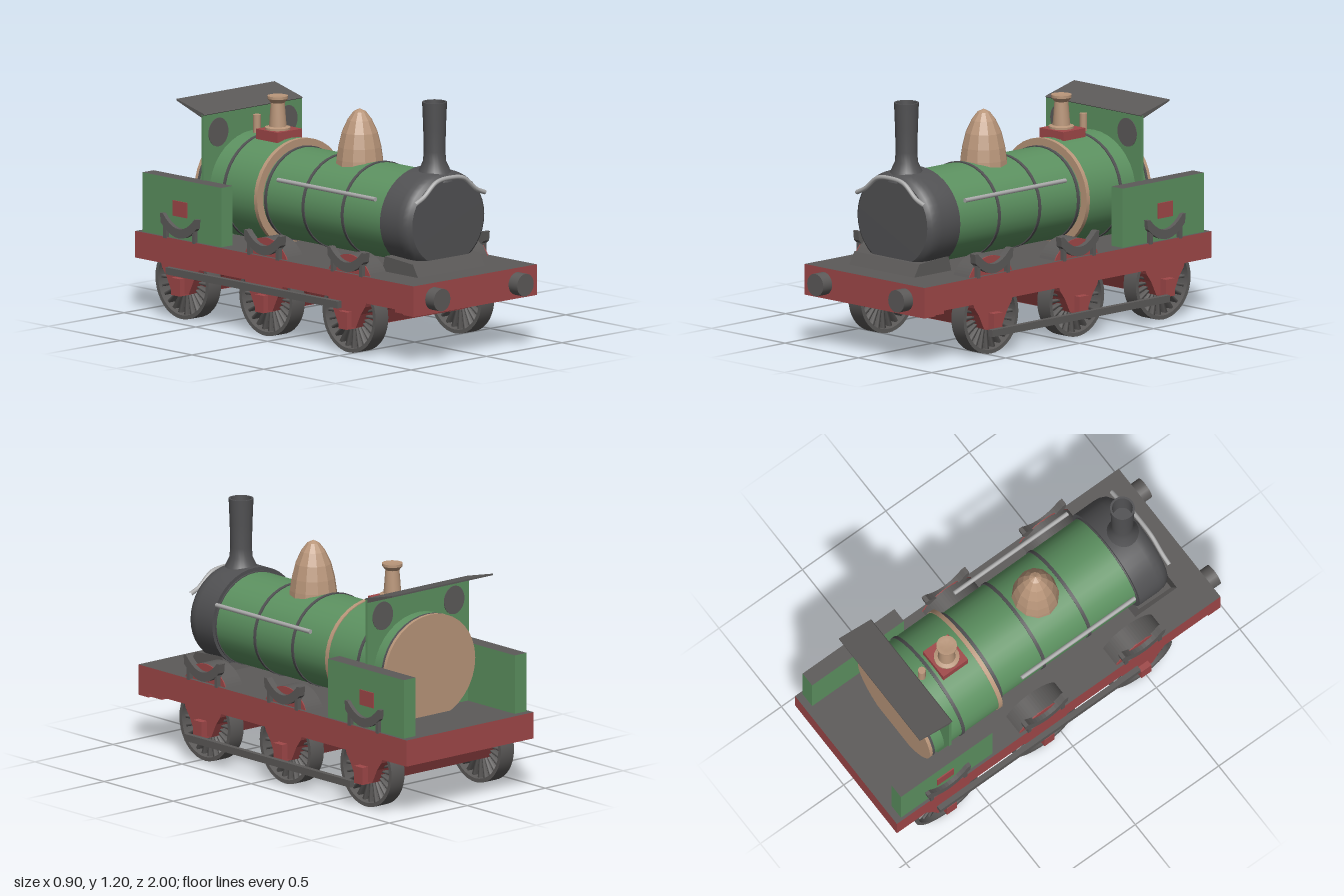
import * as THREE from 'three';
import { toCreasedNormals, mergeGeometries } from 'three/addons/utils/BufferGeometryUtils.js';

const mat = (name, color, side = THREE.FrontSide) => {
  const m = new THREE.MeshStandardMaterial({ color, side });
  m.name = name;
  return m;
};

export function createModel() {
  const green = mat('green', 0x5c9160);
  const red = mat('red', 0xa04849);
  const grey = mat('grey', 0x5c5a59);
  const charcoal = mat('charcoal', 0x515153, THREE.DoubleSide);
  const brass = mat('brass', 0xb9967a);
  const steel = mat('steel', 0xaaaaaa);

  const model = new THREE.Group();
  const body = new THREE.Group();
  body.name = 'body';
  body.position.x = -0.018;
  model.add(body);

  const add = (name, geo, material, x = 0, y = 0, z = 0, parent = body) => {
    const m = new THREE.Mesh(geo, material);
    m.name = name;
    m.position.set(x, y, z);
    parent.add(m);
    return m;
  };
  // Box given by its limits on each axis
  const box = (name, material, x0, x1, y0, y1, z0, z1, parent = body) =>
    add(name, new THREE.BoxGeometry(x1 - x0, y1 - y0, z1 - z0), material,
      (x0 + x1) / 2, (y0 + y1) / 2, (z0 + z1) / 2, parent);
  const toppedBox = (side, top) => [side, side, top, side, side, side];
  // Side profile in (z, y), extruded across x
  const prism = (shape, width) => {
    const s = Array.isArray(shape) ? new THREE.Shape(shape.map(p => new THREE.Vector2(...p))) : shape;
    return new THREE.ExtrudeGeometry(s, { depth: width, bevelEnabled: false, curveSegments: 12 })
      .translate(0, 0, -width / 2).rotateY(-Math.PI / 2);
  };
  const lathe = (pts, seg = 32, crease = 0.6) => toCreasedNormals(
    new THREE.LatheGeometry(pts.map(p => new THREE.Vector2(...p)), seg), crease);

  // Running plate with a grey deck, front beam and buffers
  box('runningPlate', toppedBox(red, grey), -0.408, 0.408, 0.26, 0.39, -1, 0.94);
  box('frontBeam', red, -0.408, 0.408, 0.24, 0.3, 0.866, 0.94);
  box('frontBeamBacking', red, -0.39, 0.39, 0.24, 0.3, 0.79, 0.866);
  for (const s of [-1, 1]) {
    add('buffer', new THREE.CylinderGeometry(0.055, 0.055, 0.07, 24).rotateX(Math.PI / 2),
      grey, s * 0.276, 0.314, 0.965);
  }

  // Horizontal oval drums: boiler, firebox and bands
  const drum = (name, material, rx, ry, z0, z1) => {
    const g = new THREE.CylinderGeometry(1, 1, z1 - z0, 36).rotateX(Math.PI / 2);
    return add(name, g.scale(rx, ry, 1), material, 0, 0.625, (z0 + z1) / 2);
  };
  drum('boiler', green, 0.248, 0.225, -0.28, 0.57);
  for (const z of [0.562, 0.276, 0.003, -0.258]) {
    drum('boilerBand', charcoal, 0.253, 0.23, z - 0.008, z + 0.008);
  }
  drum('firebox', green, 0.285, 0.26, -0.7, -0.285);
  drum('fireboxBand', charcoal, 0.29, 0.264, -0.518, -0.502);
  drum('fireboxFrontRing', brass, 0.289, 0.264, -0.298, -0.276);
  drum('fireboxRearBand', charcoal, 0.289, 0.263, -0.695, -0.682);
  drum('fireboxBackplate', brass, 0.289, 0.263, -0.712, -0.695);

  // Smokebox with rounded front rim, on its saddle
  add('smokebox', lathe([[0, 0.56], [0.27, 0.56], [0.27, 0.68], [0.266, 0.71], [0.255, 0.735],
    [0.236, 0.75], [0, 0.752]], 40).rotateX(Math.PI / 2).scale(1, 0.907, 1), charcoal, 0, 0.628, 0);
  add('smokeboxSaddle', prism([[0.8, 0.39], [0.765, 0.45], [0.57, 0.465], [0.55, 0.39]], 0.444),
    grey, -0.024, 0, 0);

  // Chimney with open top
  add('chimney', lathe([[0.1, 0.82], [0.075, 0.87], [0.056, 0.91], [0.052, 0.96], [0.055, 1.08],
    [0.06, 1.2], [0.05, 1.2], [0.046, 1.08], [0, 1.08]], 24), charcoal, 0, 0, 0.657);

  // Faceted dome
  add('dome', lathe([[0.12, 0.78], [0.115, 0.85], [0.106, 0.91], [0.088, 0.98], [0.06, 1.04],
    [0.03, 1.08], [0, 1.095]], 12, 0.01), brass, 0, 0, 0.135);

  // Safety valve on a red base, and whistle
  box('valveBase', red, -0.094, 0.068, 0.84, 0.92, -0.487, -0.338);
  add('safetyValve', lathe([[0.062, 0.915], [0.062, 0.93], [0.043, 0.935], [0.034, 1.05],
    [0.05, 1.07], [0.05, 1.083], [0.03, 1.083], [0, 1.075]], 20), brass, -0.022, 0, -0.413);
  add('whistle', new THREE.CylinderGeometry(0.019, 0.019, 0.12, 12), brass, -0.02, 0.91, -0.56);

  // Handrails along the boiler and over the smokebox door
  for (const s of [-1, 1]) {
    add('sideHandrail', new THREE.CylinderGeometry(0.011, 0.011, 0.68, 10).rotateX(Math.PI / 2),
      steel, s * 0.27, 0.74, 0.19);
  }
  const railPath = new THREE.CatmullRomCurve3([[-0.23, 0.742], [-0.175, 0.768], [-0.09, 0.832],
    [0, 0.843], [0.09, 0.83], [0.175, 0.765], [0.23, 0.742]]
    .map(p => new THREE.Vector3(p[0], p[1], 0.765)));
  add('frontHandrail', new THREE.TubeGeometry(railPath, 32, 0.011, 8), steel);

  // Cab sheet, round windows and sloping roof
  box('cabSheet', green, -0.325, 0.325, 0.39, 1.0, -0.625, -0.61);
  for (const s of [-1, 1]) {
    add('cabWindow', new THREE.CylinderGeometry(0.065, 0.065, 0.021, 28).rotateX(Math.PI / 2)
      .scale(1, 1.08, 1), grey, s * 0.229, 0.905, -0.6175);
  }
  add('cabRoof', prism([[-0.605, 1.0], [-0.625, 0.985], [-0.8, 1.045], [-0.8, 1.053], [-0.61, 1.005]]
    .reverse(), 0.65), grey);

  // Side tanks with red plates
  for (const s of [-1, 1]) {
    const [a, b] = s > 0 ? [0.318, 0.394] : [-0.394, -0.318];
    box('sideTank', toppedBox(green, grey), a, b, 0.39, 0.68, -0.965, -0.415);
    add('tankPlate', new THREE.BoxGeometry(0.008, 0.075, 0.1), red, s * 0.396, 0.537, -0.7);
  }

  // Wheel parts: tyre, tapered spokes and hub, turned on the x axis
  const tyre = lathe([[0.166, -0.042], [0.185, -0.042], [0.185, 0.042], [0.166, 0.042],
    [0.166, -0.042]], 40).rotateZ(Math.PI / 2);
  const spokeList = [];
  for (let i = 0; i < 24; i++) {
    const spoke = new THREE.CylinderGeometry(0.01, 0.005, 0.13, 4, 1).rotateY(Math.PI / 4)
      .scale(3, 1, 1).translate(0, 0.105, 0);
    spokeList.push(spoke.rotateX(i * Math.PI / 12));
  }
  const spokes = mergeGeometries(spokeList);
  const hub = new THREE.CylinderGeometry(0.05, 0.05, 0.07, 20).rotateZ(Math.PI / 2);

  // Leaf spring profile
  const leaf = new THREE.Shape();
  leaf.moveTo(-0.13, 0.505);
  leaf.lineTo(-0.125, 0.46);
  leaf.quadraticCurveTo(0, 0.335, 0.125, 0.46);
  leaf.lineTo(0.13, 0.505);
  leaf.lineTo(0.11, 0.505);
  leaf.quadraticCurveTo(0, 0.38, -0.11, 0.505);
  const leafGeo = prism(leaf, 0.035);

  // Splasher segment over a wheel
  const arch = new THREE.Shape();
  arch.absarc(0, 0.318, 0.162, 0.46, Math.PI - 0.46, false);
  const archGeo = prism(arch, 0.105);
  const archFace = prism(arch, 0.006);

  const hornGeo = prism([[-0.14, 0.28], [-0.125, 0.24], [-0.095, 0.2], [-0.06, 0.13],
    [0.06, 0.13], [0.095, 0.2], [0.125, 0.24], [0.14, 0.28]], 0.812);

  [0.475, -0.106, -0.69].forEach((z, i) => {
    const axle = new THREE.Group();
    axle.name = 'axleAssembly';
    axle.position.z = z;
    body.add(axle);
    add('hornFrame', hornGeo, red, 0, 0, 0, axle);
    box('axleBox', red, -0.436, 0.442, 0.12, 0.205, -0.03, 0.03, axle);
    for (const s of [-1, 1]) {
      const wheel = new THREE.Group();
      wheel.name = 'wheel';
      wheel.position.set(s * 0.351, 0.185, 0);
      axle.add(wheel);
      add('tyre', tyre, grey, 0, 0, 0, wheel);
      add('spokes', spokes, grey, 0, 0, 0, wheel);
      add('hub', hub, grey, 0, 0, 0, wheel);
      add('leafSpring', leafGeo, grey, s * 0.398, 0, 0, axle);
      for (const e of [-0.1, 0.1]) {
        add('springHanger', new THREE.BoxGeometry(0.03, 0.09, 0.02), grey, s * 0.398, 0.43, e, axle);
      }
      if (i < 2) {
        add('splasher', archGeo, grey, s * 0.335, 0, 0, axle);
        add('splasherFace', archFace, red, s * 0.388, 0, 0, axle);
      }
    }
  });

  // Coupling rods, set a quarter turn apart
  box('leftCouplingRod', grey, 0.424, 0.45, 0.1, 0.134, -0.66, 0.54, model);
  box('rightCouplingRod', grey, -0.455, -0.428, 0.216, 0.25, -0.76, 0.44, model);

  return model;
}
